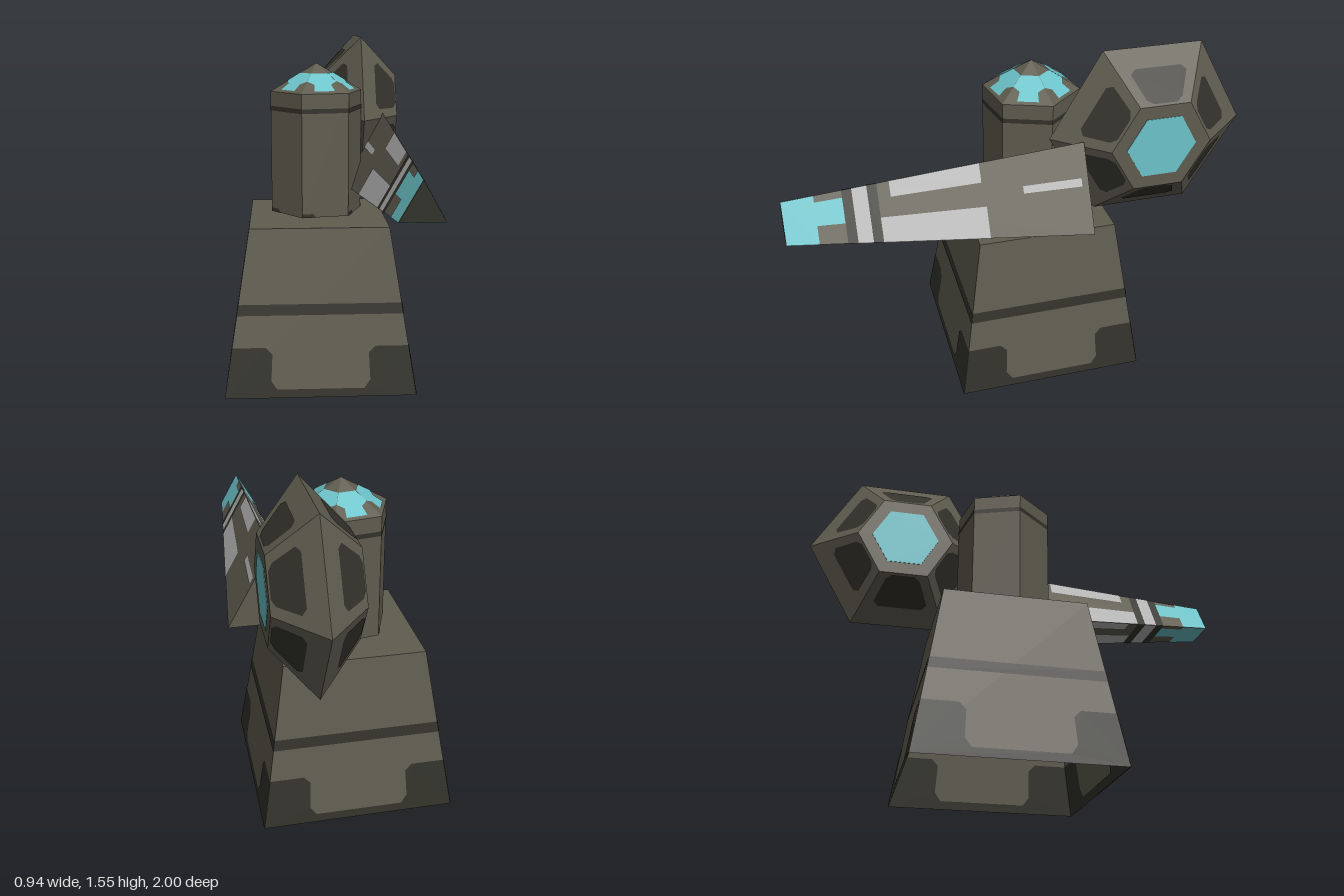
import * as THREE from 'three';

const mat = (name, color) => {
  const m = new THREE.MeshStandardMaterial({ color, side: THREE.DoubleSide });
  m.name = name;
  return m;
};

// Horizontal polygon ring, ordered so that lofted faces point outwards
const ring = (n, r, y, phase = 0, cx = 0, cz = 0) =>
  Array.from({ length: n }, (_, i) => {
    const a = phase + (i / n) * Math.PI * 2;
    return new THREE.Vector3(cx + r * Math.sin(a), y, cz + r * Math.cos(a));
  });

// Flat-shaded solid through a list of rings, with an optional closing bottom
function solid(name, rings, material, closed = true) {
  const pts = [];
  const n = rings[0].length;
  for (let k = 0; k < rings.length - 1; k++) {
    const A = rings[k], B = rings[k + 1];
    for (let i = 0; i < n; i++) {
      const j = (i + 1) % n;
      pts.push(A[i], A[j], B[j], A[i], B[j], B[i]);
    }
  }
  const first = rings[0], last = rings[rings.length - 1];
  for (let i = 1; i < n - 1; i++) {
    pts.push(last[0], last[i], last[i + 1]);
    if (closed) pts.push(first[0], first[i + 1], first[i]);
  }
  const g = new THREE.BufferGeometry().setFromPoints(pts);
  g.computeVertexNormals();
  const mesh = new THREE.Mesh(g, material);
  mesh.name = name;
  return mesh;
}

// Painted plate: a (u,v) outline laid on the face bl, br, tr, tl
function plate(name, [bl, br, tr, tl], outline, material, lift = 0.002) {
  const g = new THREE.ShapeGeometry(
    new THREE.Shape(outline.map(([u, v]) => new THREE.Vector2(u, v))));
  const normal = br.clone().sub(bl).cross(tr.clone().sub(bl)).normalize();
  const p = g.attributes.position;
  for (let i = 0; i < p.count; i++) {
    const u = p.getX(i), v = p.getY(i);
    const q = bl.clone().lerp(br, u).lerp(tl.clone().lerp(tr, u), v);
    q.addScaledVector(normal, lift);
    p.setXYZ(i, q.x, q.y, q.z);
  }
  g.computeVertexNormals();
  const mesh = new THREE.Mesh(g, material);
  mesh.name = name;
  return mesh;
}

const rect = (u0, u1, v0, v1) => [[u0, v0], [u1, v0], [u1, v1], [u0, v1]];
const sides = (A, B) => A.map((_, i) => {
  const j = (i + 1) % A.length;
  return [A[i], A[j], B[j], B[i]];
});
const group = (name, parent) => {
  const g = new THREE.Group();
  g.name = name;
  parent.add(g);
  return g;
};

export function createModel() {
  const model = new THREE.Group();
  model.name = 'turret';
  const stone = mat('stone brown', 0x5f5c4f);
  const dark = mat('dark stone', 0x32312a);
  const teal = mat('teal glow', 0x6cc3ca);
  const grey = mat('light grey metal', 0xb4b4b4);
  const CX = -0.045, CZ = -0.112;

  // Tapered square pedestal, hollow and open below, painted inside and out
  const pedestal = group('pedestal', model);
  const foot = ring(4, 0.427 * Math.SQRT2, 0, Math.PI / 4, CX, CZ);
  const deck = ring(4, 0.31 * Math.SQRT2, 0.745, Math.PI / 4, CX, CZ);
  pedestal.add(solid('pedestalShell', [foot, deck], stone, false));
  const half = [[1, 0], [1, 0.3], [0.81, 0.3], [0.77, 0.26], [0.765, 0.1], [0.73, 0.05]];
  const skirt = [...half, ...half.map(([u, v]) => [1 - u, v]).reverse()];
  for (const f of sides(foot, deck)) {
    for (const lift of [0.002, -0.002]) {
      pedestal.add(plate('pedestalSkirt', f, skirt, dark, lift));
      pedestal.add(plate('pedestalBand', f, rect(0, 1, 0.49, 0.555), dark, lift));
    }
  }

  // Floating six-sided drum with a pointed cap
  const drum = group('drum', model);
  const turn = (40 * Math.PI) / 180;
  const low = ring(6, 0.213, 0.765, turn, CX, CZ);
  const rim = ring(6, 0.213, 1.32, turn, CX, CZ);
  const tip = ring(6, 0, 1.445, turn, CX, CZ);
  drum.add(solid('drumBody', [low, rim, tip], stone));
  for (const f of sides(low, rim)) {
    drum.add(plate('drumBand', f, rect(0, 1, 0.845, 0.882), dark));
    drum.add(plate('drumFootMark', f, [[0, 0], [0.3, 0], [0.24, 0.03], [0, 0.03]], dark));
  }
  const gear = [[0.27, 0.07], [0.73, 0.07], [0.75, 0.28], [1, 0.38],
    [1, 0.64], [0, 0.64], [0, 0.38], [0.25, 0.28]];
  for (const f of sides(rim, tip)) drum.add(plate('capGear', f, gear, teal));

  // Hexagonal bevelled wheel at the rear, axis along x
  const wheel = group('rearWheel', model);
  wheel.position.set(0.18, 1.175, -0.565);
  wheel.rotation.z = -Math.PI / 2;
  const inner = ring(6, 0.22, -0.18), mid = ring(6, 0.435, 0), outer = ring(6, 0.22, 0.18);
  wheel.add(solid('wheelBody', [inner, mid, outer], stone));
  wheel.add(solid('wheelHub', [ring(6, 0.154, -0.182), ring(6, 0.154, 0.182)], teal));
  const spot = [[0.22, 0.36], [0.78, 0.36], [0.86, 0.45], [0.82, 0.88],
    [0.72, 0.96], [0.28, 0.96], [0.18, 0.88], [0.14, 0.45]];
  const flipped = spot.map(([u, v]) => [u, 1 - v]);
  for (const f of sides(mid, outer)) wheel.add(plate('wheelSpot', f, spot, dark));
  for (const f of sides(inner, mid)) wheel.add(plate('wheelSpot', f, flipped, dark));

  // Triangular tapered barrel pointing forwards
  const barrel = group('barrel', model);
  const tri = (z, w, bottom, top) => [[0, top], [-w, bottom], [w, bottom]]
    .map(([x, y]) => new THREE.Vector3(0.279 + x, y, z));
  const back = tri(-0.25, 0.19, 0.858, 1.198);
  const muzzle = tri(0.998, 0.085, 0.958, 1.108);
  barrel.add(solid('barrelBody', [back, muzzle], stone));
  // Paint on each face: s from the ridge, z along the barrel
  const paint = [
    ['barrelMark', 0.38, 0.47, -0.22, 0.03, grey],
    ['barrelStripe', 0, 0.26, 0.2, 0.57, grey],
    ['barrelStripe', 0.58, 1, 0.19, 0.62, grey],
    ['barrelBand', 0, 1, 0.62, 0.66, dark],
    ['barrelRing', 0, 1, 0.66, 0.72, grey],
    ['barrelBand', 0, 1, 0.72, 0.76, dark],
    ['muzzleTooth', 0.14, 0.62, 0.76, 0.87, teal],
    ['muzzleGlow', 0, 1, 0.87, 0.998, teal],
  ];
  const along = (z) => (z + 0.25) / 1.248;
  sides(back, muzzle).forEach((f, i) => {
    for (const [name, s0, s1, z0, z1, m] of paint) {
      const [a, b] = i === 2 ? [1 - s1, 1 - s0] : [s0, s1];
      barrel.add(plate(name, f, rect(a, b, along(z0), along(z1)), m));
    }
  });
  barrel.add(plate('muzzleFace', [muzzle[1], muzzle[2], muzzle[0], muzzle[0]],
    [[0, 0], [1, 0], [0.5, 1]], dark));

  return model;
}
